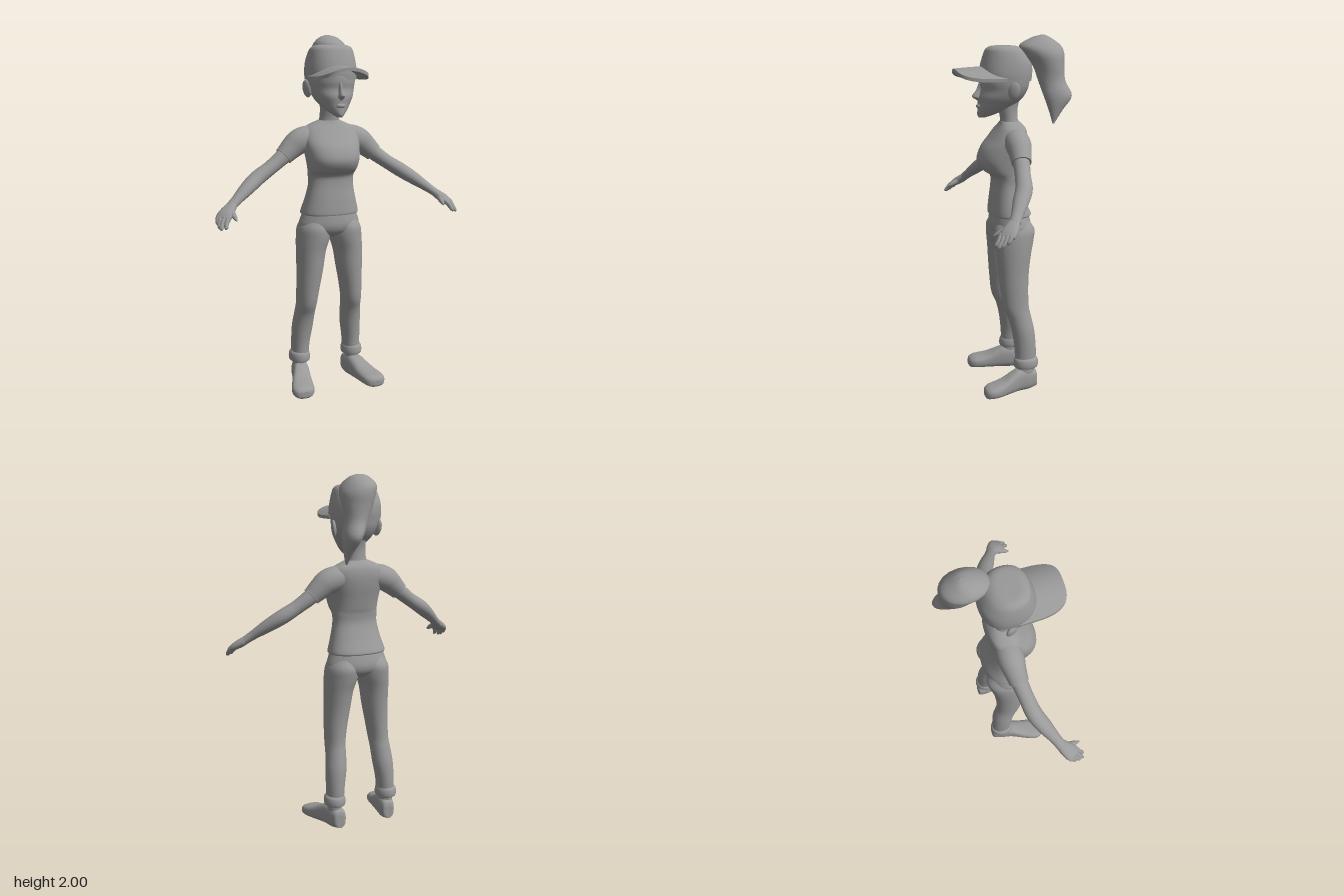
import * as THREE from 'three';

const grey = new THREE.MeshStandardMaterial({ color: 0x999999 });
grey.name = 'plain grey';

const AXES = { y: new THREE.Vector3(0, 1, 0), z: new THREE.Vector3(0, 0, 1) };

// Smooth skin through rings [x, y, z, halfWidth, halfDepth].
// axis 'y' or 'z' keeps the rings flat; 'path' turns them along the centre line.
// power below 1 makes the rings boxier.
function loft(rows, { axis = 'y', power = 1, sides = 28, steps = 5 } = {}) {
  const centre = new THREE.CatmullRomCurve3(rows.map(r => new THREE.Vector3(r[0], r[1], r[2])), false, 'catmullrom');
  const radius = new THREE.CatmullRomCurve3(rows.map(r => new THREE.Vector3(r[3], r[4], 0)), false, 'catmullrom');
  const n = (rows.length - 1) * steps;
  const pos = [], index = [];
  const bend = v => Math.sign(v) * Math.pow(Math.abs(v), power);
  const span = new THREE.Vector3().subVectors(centre.getPoint(1), centre.getPoint(0));
  for (let i = 0; i <= n; i++) {
    const c = centre.getPoint(i / n), r = radius.getPoint(i / n);
    const T = axis === 'path' ? centre.getTangent(i / n)
      : AXES[axis].clone().multiplyScalar(Math.sign(span.dot(AXES[axis])));
    const u = axis === 'path' ? new THREE.Vector3().crossVectors(T, AXES.y).normalize() : new THREE.Vector3(1, 0, 0);
    const v = new THREE.Vector3().crossVectors(T, u);
    for (let j = 0; j < sides; j++) {
      const t = j / sides * Math.PI * 2;
      const p = c.clone().addScaledVector(u, Math.max(r.x, 0.001) * bend(Math.cos(t)))
        .addScaledVector(v, Math.max(r.y, 0.001) * bend(Math.sin(t)));
      pos.push(p.x, p.y, p.z);
      if (i < n) {
        const a = i * sides + j, b = i * sides + (j + 1) % sides;
        index.push(a, b, a + sides, b, b + sides, a + sides);
      }
    }
  }
  // end caps with their own corners, so the rims stay sharp
  for (const end of [0, n]) {
    const start = pos.length / 3;
    const c = centre.getPoint(end / n);
    pos.push(...pos.slice(end * sides * 3, (end + 1) * sides * 3), c.x, c.y, c.z);
    for (let j = 0; j < sides; j++) {
      const a = start + j, b = start + (j + 1) % sides;
      index.push(...(end ? [a, b, start + sides] : [b, a, start + sides]));
    }
  }
  const g = new THREE.BufferGeometry();
  g.setAttribute('position', new THREE.Float32BufferAttribute(pos, 3));
  g.setIndex(index);
  g.computeVertexNormals();
  return g;
}

// Rows written as [y, x, halfWidth, frontZ, backZ]
const upright = (rows, s = 1) => rows.map(([y, x, w, f, b]) => [x * s, y, (f + b) / 2, w, (f - b) / 2]);
const mirror = (rows, s) => rows.map(([x, ...rest]) => [x * s, ...rest]);

function capBrim() {
  const g = new THREE.BoxGeometry(2, 1, 1, 32, 1, 12);
  const p = g.attributes.position;
  for (let i = 0; i < p.count; i++) {
    const X = Math.sin(p.getX(i) * Math.PI / 2), v = p.getZ(i) + 0.5;
    const reach = 0.13 + 0.18 * Math.pow(Math.max(0, 1 - X ** 4), 0.4);
    const arch = 1.768 + 0.06 * (1 - X * X) - 0.012 * v * v * (1 - X * X);
    p.setXYZ(i, 0.141 * X, arch + p.getY(i) * 0.018, 0.05 + (reach - 0.05) * v);
  }
  g.computeVertexNormals();
  return g;
}

export function createModel() {
  const model = new THREE.Group();
  model.name = 'figure';
  const add = (name, geometry) => {
    const m = new THREE.Mesh(geometry, grey);
    m.name = name;
    model.add(m);
    return m;
  };

  // Shirt and trousers
  add('shirt', loft(upright([
    [1.015, 0, 0.163, 0.12, -0.105], [1.03, 0, 0.166, 0.122, -0.107], [1.1, 0, 0.147, 0.115, -0.075],
    [1.18, 0, 0.131, 0.105, -0.047], [1.235, 0, 0.132, 0.11, -0.047], [1.27, 0, 0.138, 0.158, -0.055],
    [1.325, 0, 0.148, 0.184, -0.066], [1.39, 0, 0.158, 0.163, -0.08], [1.45, 0, 0.163, 0.115, -0.086],
    [1.495, 0, 0.145, 0.08, -0.08], [1.52, 0, 0.1, 0.063, -0.065], [1.537, 0, 0.06, 0.055, -0.048],
  ]), { power: 0.85, sides: 40 }));
  add('trouserSeat', loft(upright([
    [1.04, 0, 0.15, 0.11, -0.09], [1, 0, 0.166, 0.117, -0.104], [0.95, 0, 0.179, 0.119, -0.113],
    [0.91, 0, 0.15, 0.1, -0.1], [0.88, 0, 0.07, 0.05, -0.06],
  ]), { sides: 36 }));

  // Head
  add('neck', loft(upright([
    [1.5, 0, 0.066, 0.055, -0.05], [1.55, 0, 0.055, 0.055, -0.042],
    [1.61, 0, 0.053, 0.065, -0.042], [1.68, 0, 0.06, 0.07, -0.06],
  ])));
  add('head', loft(upright([
    [1.56, 0, 0.012, 0.176, 0.14], [1.575, 0, 0.03, 0.184, 0.09], [1.6, 0, 0.058, 0.183, 0.03],
    [1.635, 0, 0.087, 0.18, -0.035], [1.67, 0, 0.108, 0.18, -0.073], [1.71, 0, 0.122, 0.168, -0.096],
    [1.75, 0, 0.13, 0.172, -0.106], [1.8, 0, 0.13, 0.165, -0.11], [1.86, 0, 0.11, 0.13, -0.09],
  ]), { sides: 36 }));
  add('nose', loft(upright([
    [1.652, 0, 0.008, 0.182, 0.16], [1.668, 0, 0.018, 0.207, 0.15],
    [1.68, 0, 0.016, 0.213, 0.15], [1.71, 0, 0.01, 0.19, 0.14], [1.745, 0, 0.012, 0.176, 0.14],
  ]), { sides: 16 }));
  const lips = add('lips', new THREE.SphereGeometry(1, 16, 10));
  lips.scale.set(0.028, 0.013, 0.014);
  lips.position.set(0, 1.622, 0.176);

  // Cap
  add('capCrown', loft(upright([
    [1.758, 0, 0.138, 0.168, -0.113], [1.8, 0, 0.14, 0.17, -0.118], [1.85, 0, 0.135, 0.16, -0.114],
    [1.9, 0, 0.124, 0.144, -0.088], [1.928, 0, 0.111, 0.13, -0.062], [1.942, 0, 0.085, 0.1, -0.03],
    [1.944, 0, 0.03, 0.05, 0.01],
  ]), { power: 0.88, sides: 40 }));
  add('capBrim', capBrim());

  // Ponytail sweeping up from the cap and flicking out at the end
  add('ponytail', loft(upright([
    [2, 0.06, 0.015, -0.15, -0.18], [1.985, 0.06, 0.055, -0.1, -0.21], [1.945, 0.062, 0.09, -0.035, -0.265],
    [1.9, 0.078, 0.094, -0.06, -0.28], [1.84, 0.088, 0.083, -0.105, -0.277], [1.76, 0.105, 0.062, -0.13, -0.28],
    [1.68, 0.135, 0.048, -0.152, -0.31], [1.61, 0.148, 0.028, -0.175, -0.257], [1.535, 0.156, 0.004, -0.196, -0.206],
  ]), { sides: 20, steps: 4 }));

  for (const s of [1, -1]) {
    const side = s > 0 ? 'left' : 'right';

    const ear = add(side + 'Ear', new THREE.SphereGeometry(1, 18, 12));
    ear.scale.set(0.014, 0.048, 0.032);
    ear.position.set(s * 0.132, 1.71, 0.012);
    ear.rotation.set(-0.2, s * -0.35, s * -0.15);

    // Arm and hand
    add(side + 'Sleeve', loft(mirror([
      [0.06, 1.45, -0.005, 0.06, 0.06], [0.13, 1.438, -0.002, 0.07, 0.07], [0.18, 1.42, 0, 0.069, 0.07],
      [0.22, 1.39, 0.003, 0.061, 0.063], [0.26, 1.355, 0.008, 0.054, 0.053], [0.27, 1.346, 0.009, 0.053, 0.052],
    ], s), { axis: 'path' }));
    add(side + 'Arm', loft(mirror([
      [0.22, 1.388, 0.005, 0.045, 0.045], [0.28, 1.34, 0.012, 0.044, 0.043], [0.35, 1.29, 0.025, 0.042, 0.039],
      [0.43, 1.24, 0.042, 0.045, 0.041], [0.5, 1.192, 0.078, 0.042, 0.036], [0.57, 1.14, 0.118, 0.031, 0.026],
      [0.61, 1.11, 0.14, 0.03, 0.023],
    ], s), { axis: 'path' }));
    add(side + 'Palm', loft(mirror([
      [0.595, 1.12, 0.135, 0.027, 0.02], [0.62, 1.1, 0.152, 0.037, 0.024],
      [0.648, 1.078, 0.177, 0.045, 0.022], [0.667, 1.06, 0.195, 0.043, 0.016],
    ], s), { axis: 'path', power: 0.85 }));
    const fingers = [
      [0.642, 1.062, 0.218, 0.662, 1.015, 0.25], [0.66, 1.062, 0.207, 0.685, 1.01, 0.242],
      [0.672, 1.065, 0.19, 0.69, 1.015, 0.224], [0.678, 1.07, 0.172, 0.692, 1.03, 0.198],
    ];
    fingers.forEach(([x, y, z, X, Y, Z], i) => add(side + 'Finger' + (i + 1), loft(mirror([
      [x - 0.02, y + 0.018, z - 0.015, 0.012, 0.012], [x + 0.004, y - 0.004, z + 0.003, 0.013, 0.013],
      [(x + X) / 2 + 0.005, (y + Y) / 2, (z + Z) / 2, 0.012, 0.012], [X, Y + 0.008, Z - 0.003, 0.01, 0.01],
      [X, Y, Z, 0.003, 0.003],
    ], s), { axis: 'path', sides: 10, steps: 3 })));
    add(side + 'Thumb', loft(mirror([
      [0.61, 1.105, 0.15, 0.014, 0.014], [0.612, 1.085, 0.188, 0.016, 0.016],
      [0.608, 1.068, 0.222, 0.012, 0.012], [0.606, 1.056, 0.246, 0.004, 0.004],
    ], s), { axis: 'path', sides: 12 }));

    // Leg, turned-up hem, ankle and shoe
    add(side + 'TrouserLeg', loft(upright([
      [0.99, 0.085, 0.07, 0.09, -0.085], [0.94, 0.093, 0.09, 0.115, -0.114], [0.88, 0.098, 0.094, 0.115, -0.108],
      [0.8, 0.112, 0.083, 0.106, -0.09], [0.7, 0.12, 0.075, 0.099, -0.076], [0.6, 0.13, 0.066, 0.09, -0.07],
      [0.5, 0.138, 0.058, 0.077, -0.072], [0.43, 0.143, 0.058, 0.048, -0.086], [0.35, 0.15, 0.06, 0.028, -0.102],
      [0.25, 0.159, 0.053, 0.015, -0.109], [0.17, 0.162, 0.05, 0.012, -0.108],
    ], s)));
    add(side + 'TrouserCuff', loft(upright([
      [0.138, 0.165, 0.046, 0.008, -0.108], [0.144, 0.165, 0.058, 0.02, -0.118], [0.165, 0.165, 0.061, 0.022, -0.121],
      [0.188, 0.165, 0.057, 0.018, -0.117], [0.2, 0.164, 0.047, 0.008, -0.106],
    ], s)));
    add(side + 'Ankle', loft(upright([
      [0.09, 0.167, 0.04, 0.005, -0.095], [0.17, 0.165, 0.038, 0, -0.1],
    ], s)));
    // shoe rows: z, x, half width, top height
    const shoe = [
      [-0.115, 0.157, 0.02, 0.09], [-0.105, 0.157, 0.037, 0.115], [-0.06, 0.163, 0.046, 0.13],
      [-0.005, 0.172, 0.049, 0.132], [0.04, 0.185, 0.054, 0.113], [0.09, 0.2, 0.061, 0.088],
      [0.14, 0.213, 0.066, 0.074], [0.175, 0.218, 0.062, 0.067], [0.198, 0.22, 0.046, 0.056], [0.207, 0.22, 0.022, 0.043],
    ];
    add(side + 'Shoe', loft(shoe.map(([z, x, w, top]) => {
      const low = w < 0.04 ? 0.012 : 0.002;
      return [x * s, (top + low) / 2, z, w, (top - low) / 2];
    }), { axis: 'z', power: 0.72 }));
  }
  return model;
}
